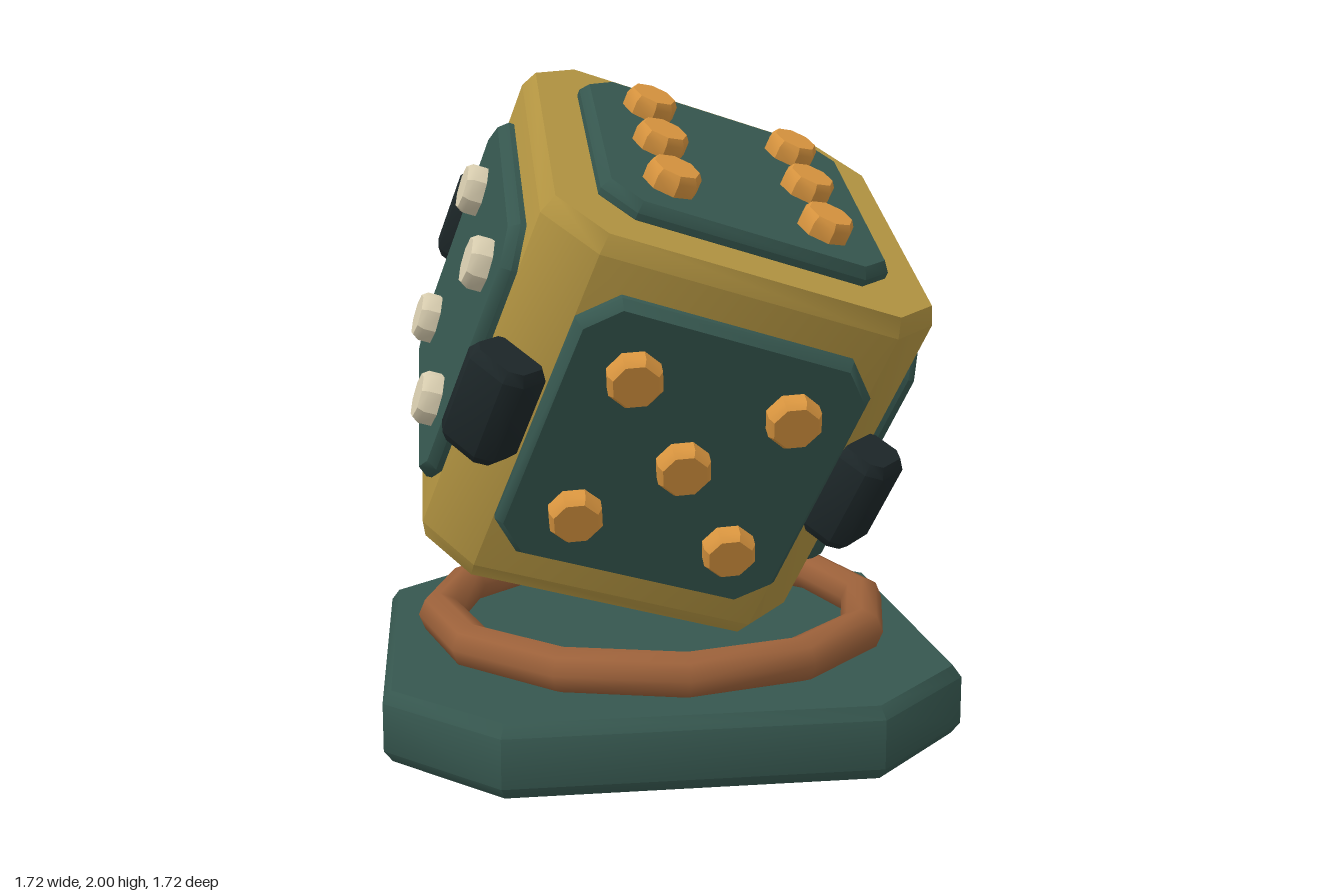
import * as THREE from 'three';
import { toCreasedNormals } from 'three/addons/utils/BufferGeometryUtils.js';

const paint = (name, color) => {
  const m = new THREE.MeshStandardMaterial({ color });
  m.name = name;
  return m;
};

// Upright block with four cut corners and a bevel round its top and bottom
function cutBlock(width, height, depth, cut, inset, drop) {
  const x = width / 2 - inset, y = depth / 2 - inset;
  const shape = new THREE.Shape([
    [x, -y + cut], [x, y - cut], [x - cut, y], [-x + cut, y],
    [-x, y - cut], [-x, -y + cut], [-x + cut, -y], [x - cut, -y],
  ].map(([a, b]) => new THREE.Vector2(a, b)));
  const core = height - 2 * drop;
  const geo = new THREE.ExtrudeGeometry(shape, {
    depth: core, bevelEnabled: true, bevelSegments: 1, bevelSize: inset, bevelThickness: drop,
  });
  geo.translate(0, 0, -core / 2);
  geo.rotateX(-Math.PI / 2);
  return toCreasedNormals(geo, 0.85);
}

export function createModel() {
  const gold = paint('gold', 0xb59642);
  const teal = paint('deep teal', 0x36574f);
  const brown = paint('copper brown', 0x9c613a);
  const black = paint('charcoal', 0x1d2729);
  const orange = paint('amber', 0xd9953f);
  const cream = paint('cream', 0xd9ceb0);

  const model = new THREE.Group();
  const add = (parent, name, geo, mat, x = 0, y = 0, z = 0) => {
    const mesh = new THREE.Mesh(geo, mat);
    mesh.name = name;
    mesh.position.set(x, y, z);
    parent.add(mesh);
    return mesh;
  };

  // Stand: cut-corner plinth with a ring that cradles the die
  add(model, 'plinth', cutBlock(1.72, 0.213, 1.72, 0.31, 0.025, 0.035), teal, 0, 0.1065, 0);
  const ringGeo = new THREE.TorusGeometry(0.692, 0.068, 8, 12);
  ringGeo.rotateX(-Math.PI / 2);
  add(model, 'cradleRing', ringGeo, brown, 0, 0.278, 0);

  // Tilted die
  const die = new THREE.Group();
  die.name = 'die';
  die.position.y = 1.128;
  die.rotation.set(0.42, 0, -0.315);
  model.add(die);
  add(die, 'dieBody', cutBlock(1.2, 1.19, 1.2, 0.14, 0.025, 0.055), gold);

  // Face panels with raised pips; each face is built pointing up, then turned
  const panelGeo = cutBlock(0.89, 0.08, 0.89, 0.085, 0.022, 0.03);
  const pipGeo = toCreasedNormals(new THREE.LatheGeometry(
    [[0.082, 0], [0.082, 0.05], [0.068, 0.07], [0, 0.07]].map(([r, y]) => new THREE.Vector2(r, y)), 8), 0.6);
  const s = 0.24, h = Math.PI / 2;
  const diagonal = [[-s, s], [s, -s]];
  const corners = [...diagonal, [s, s], [-s, -s]];
  const columns = [-0.26, 0, 0.26].flatMap((z) => [[-s, z], [s, z]]);
  const faces = [
    ['topFace', 0, 0, orange, columns],
    ['frontFace', h, 0, orange, [...corners, [0, 0]]],
    ['leftFace', 0, -h, cream, [...diagonal, [0, 0]]],
    ['rightFace', 0, h, cream, corners],
    ['backFace', -h, 0, cream, diagonal],
    ['bottomFace', Math.PI, 0, cream, [[0, 0]]],
  ];
  for (const [name, rx, rz, mat, pips] of faces) {
    const face = new THREE.Group();
    face.name = name;
    face.rotation.set(rx, 0, rz);
    die.add(face);
    add(face, 'panel', panelGeo, teal, 0, 0.607, 0);
    for (const [x, z] of pips) add(face, 'pip', pipGeo, mat, x, 0.637, z);
  }

  // Bumpers on the four cut edges
  const bumperGeo = cutBlock(0.21, 0.31, 0.18, 0.03, 0.02, 0.03);
  for (const x of [-1, 1]) for (const z of [-1, 1]) {
    add(die, 'bumper', bumperGeo, black, x * 0.56, 0, z * 0.56).rotation.y = Math.atan2(x, z);
  }
  return model;
}
